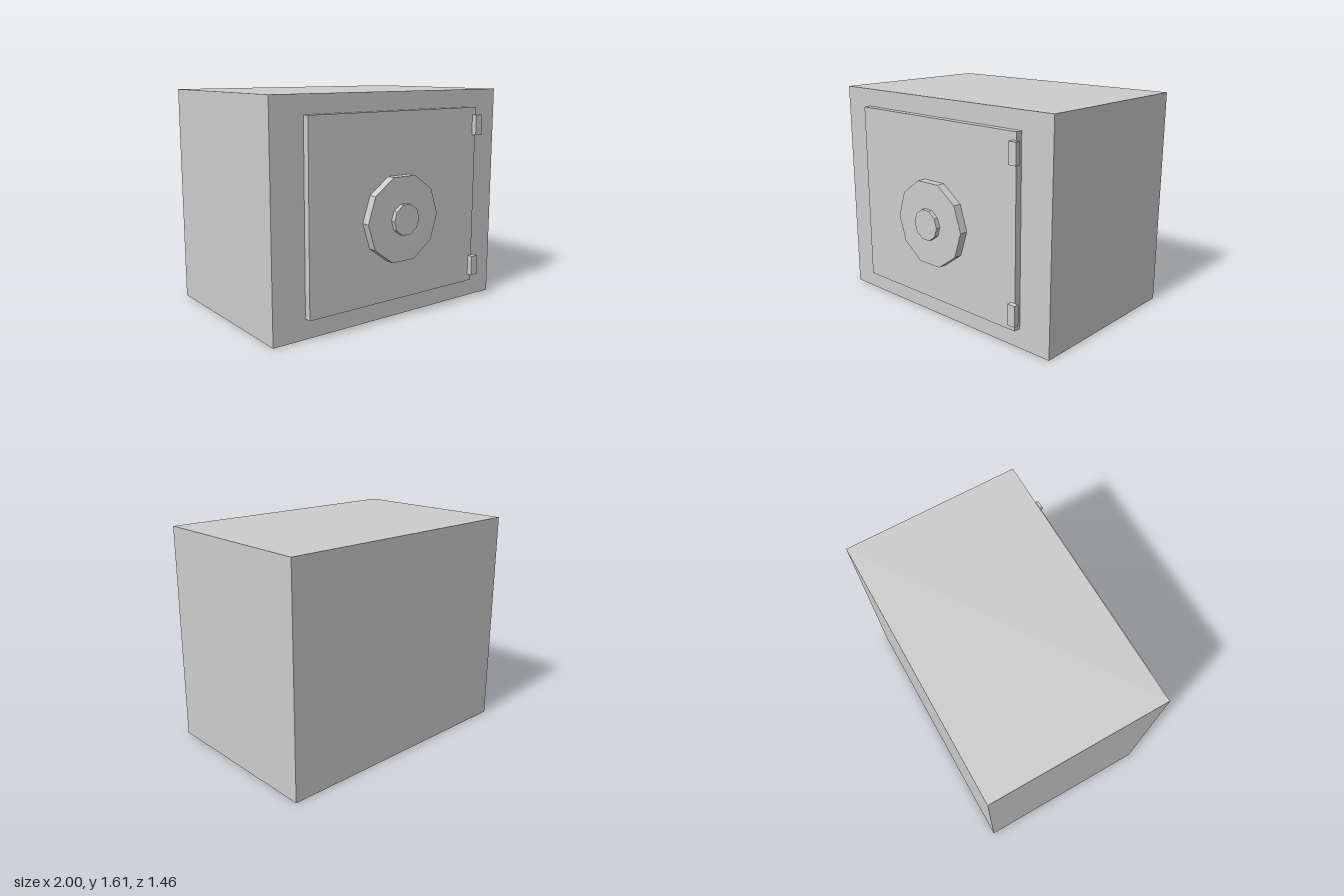
import * as THREE from 'three';

export function createModel() {
  const group = new THREE.Group();
  const material = new THREE.MeshStandardMaterial({ color: 0xcccccc, flatShading: true });

  function add(name, geometry) {
    const mesh = new THREE.Mesh(geometry, material);
    mesh.name = name;
    group.add(mesh);
  }

  // Box given by its limits on each axis
  function box(name, [x0, x1], [y0, y1], [z0, z1]) {
    const geometry = new THREE.BoxGeometry(x1 - x0, y1 - y0, z1 - z0);
    geometry.translate((x0 + x1) / 2, (y0 + y1) / 2, (z0 + z1) / 2);
    add(name, geometry);
  }

  // Ten-sided disc facing +z, with corners on the x axis
  function disc(name, radius, z0, z1) {
    const geometry = new THREE.CylinderGeometry(radius, radius, z1 - z0, 10);
    geometry.rotateY(Math.PI / 2).rotateX(Math.PI / 2);
    geometry.translate(0, 0.735, (z0 + z1) / 2);
    add(name, geometry);
  }

  // Safe body and raised door
  box('body', [-1, 1], [0, 1.608], [-0.73, 0.587]);
  box('door', [-0.75, 0.75], [0.143, 1.478], [0.587, 0.638]);

  // Hinges overhanging the door's left edge
  box('upperHinge', [0.717, 0.78], [1.273, 1.423], [0.638, 0.676]);
  box('lowerHinge', [0.717, 0.78], [0.193, 0.343], [0.638, 0.676]);

  // Combination dial with its centre knob
  disc('dial', 0.315, 0.638, 0.698);
  disc('knob', 0.113, 0.698, 0.73);

  return group;
}
